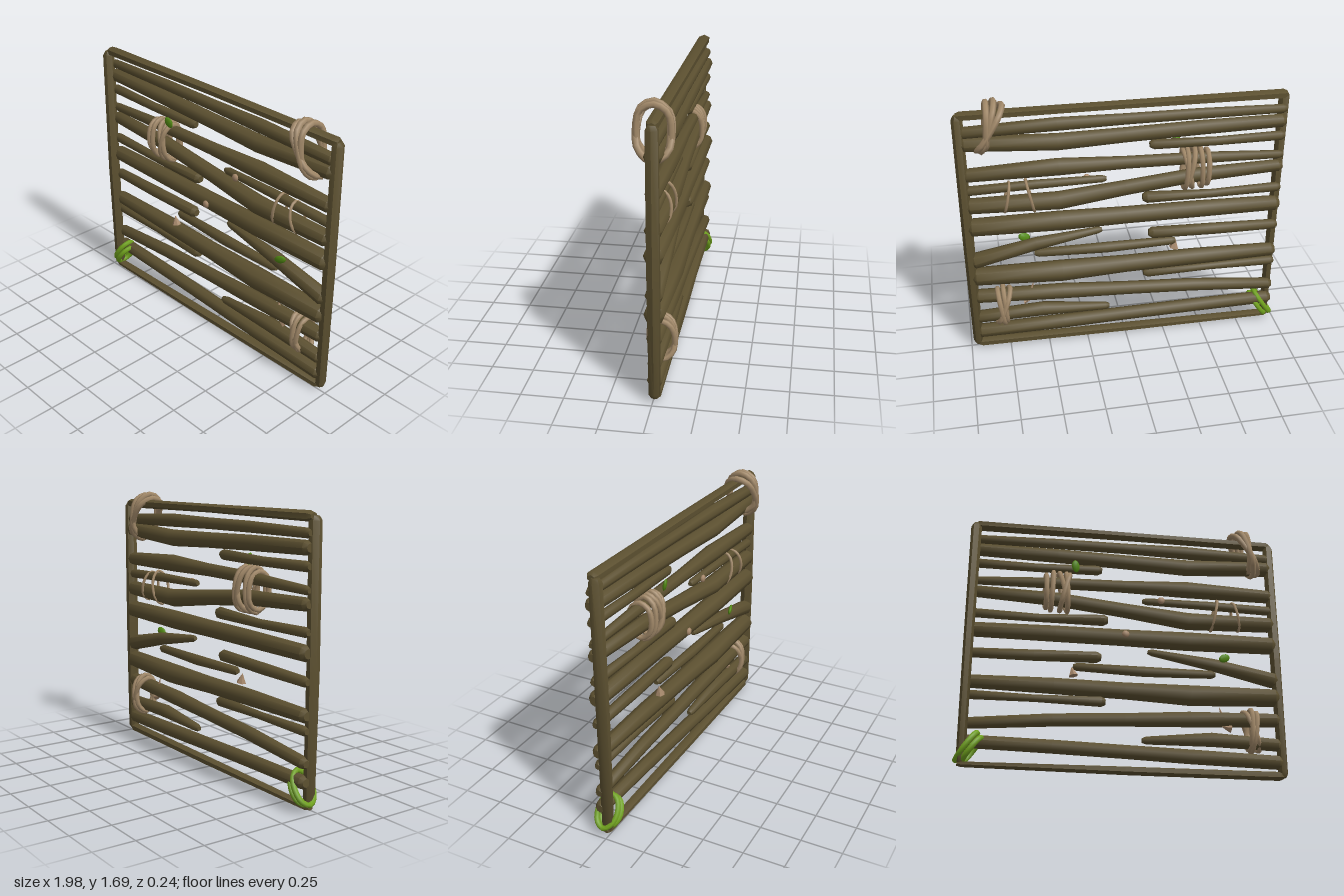
import * as THREE from 'three';
import { mergeVertices, toCreasedNormals } from 'three/addons/utils/BufferGeometryUtils.js';

const mat = (name, color) => {
  const m = new THREE.MeshStandardMaterial({ color });
  m.name = name;
  return m;
};
const V = (x, y, z) => new THREE.Vector3(x, y, z);

// Tapered branch: sections are [centre, radius across, radius in depth], chamfered at both ends
function branchGeometry(sections, sides) {
  const first = sections[0], last = sections[sections.length - 1];
  const tip = (s, other) => {
    const dir = s[0].clone().sub(other[0]).normalize();
    return [s[0].clone().addScaledVector(dir, 0.025), s[1] * 0.6, s[2] * 0.6];
  };
  const rings = [tip(first, sections[1]), ...sections, tip(last, sections[sections.length - 2])];
  const axis = last[0].clone().sub(first[0]).normalize();
  const depth = V(0, 0, 1);
  const across = V(0, 0, 0).crossVectors(depth, axis).normalize();
  const pos = [], idx = [];
  for (const [c, ra, rd] of rings) {
    for (let i = 0; i < sides; i++) {
      const a = (i / sides) * Math.PI * 2;
      const p = c.clone().addScaledVector(across, Math.cos(a) * ra).addScaledVector(depth, Math.sin(a) * rd);
      pos.push(p.x, p.y, p.z);
    }
  }
  for (let r = 0; r < rings.length - 1; r++) {
    for (let i = 0; i < sides; i++) {
      const a = r * sides + i, b = r * sides + (i + 1) % sides;
      idx.push(a, b, a + sides, b, b + sides, a + sides);
    }
  }
  const end = (rings.length - 1) * sides;
  for (let i = 1; i < sides - 1; i++) idx.push(0, i + 1, i, end, end + i, end + i + 1);
  const g = new THREE.BufferGeometry();
  g.setAttribute('position', new THREE.Float32BufferAttribute(pos, 3));
  g.setIndex(idx);
  return toCreasedNormals(mergeVertices(g), 0.9);
}

export function createModel() {
  const model = new THREE.Group();
  model.name = 'wovenBranchPanel';
  const wood = mat('bark brown', 0x5c5030);
  const rope = mat('rope tan', 0xa38a6a);
  const vine = mat('vine green', 0x72a41e);
  const leafGreen = mat('leaf green', 0x548c14);
  const bud = mat('cut wood', 0xa5876a);

  const add = (name, geometry, material, parent = model) => {
    const m = new THREE.Mesh(geometry, material);
    m.name = name;
    parent.add(m);
    return m;
  };

  // Frame: two posts and two rails
  const frame = (name, pts) => add(name, branchGeometry(pts, 6), wood);
  frame('leftPost', [[V(0.955, 0.06, -0.01), 0.03, 0.036], [V(0.957, 0.8, -0.01), 0.034, 0.04], [V(0.957, 1.6, -0.01), 0.033, 0.038]]);
  frame('rightPost', [[V(-0.945, 0.06, -0.015), 0.027, 0.036], [V(-0.952, 0.8, -0.01), 0.03, 0.04], [V(-0.955, 1.6, -0.015), 0.034, 0.038]]);
  frame('topRail', [[V(-0.94, 1.622, -0.035), 0.03, 0.04], [V(0, 1.624, -0.025), 0.026, 0.038], [V(0.94, 1.62, -0.01), 0.029, 0.036]]);
  frame('bottomRail', [[V(-0.94, 0.03, -0.02), 0.017, 0.03], [V(0, 0.034, -0.015), 0.026, 0.035], [V(0.93, 0.042, -0.01), 0.028, 0.035]]);

  // Horizontal sticks, set further back towards the -x post; points are [x, y, radius]
  const sticks = new THREE.Group();
  sticks.name = 'sticks';
  model.add(sticks);
  const stick = (name, pts) => {
    const sections = pts.map(([x, y, r]) => [V(x, y, -0.03 + 0.025 * x), r, r]);
    add(name, branchGeometry(sections, 8), wood, sticks);
  };

  // Full-width sticks: four heights, thin-end radius, bulge radius
  const longSticks = [
    [1.535, 1.538, 1.532, 1.515, 0.028, 0.042],
    [1.458, 1.448, 1.42, 1.445, 0.041, 0.053],
    [1.235, 1.25, 1.258, 1.243, 0.026, 0.054],
    [1.16, 1.135, 1.033, 1.038, 0.038, 0.057],
    [0.897, 0.897, 0.892, 0.892, 0.048, 0.062],
    [0.555, 0.55, 0.53, 0.54, 0.043, 0.068],
    [0.29, 0.333, 0.375, 0.392, 0.036, 0.05],
    [0.18, 0.168, 0.14, 0.125, 0.041, 0.046],
  ];
  for (const [yL, yA, yB, yR, thin, thick] of longSticks) {
    const r = (t) => thin + (thick - thin) * t;
    stick('longStick', [[-0.94, yL, r(0)], [-0.43, yA, r(0.4)], [0, (yA + yB) / 2, r(0.5)], [0.4, yB, r(1)], [0.93, yR, r(0.6)]]);
  }

  // Short sticks: x range, then height and radius at start, middle and end
  const shortSticks = [
    [-0.94, -0.17, 1.36, 1.353, 1.36, 0.03, 0.028, 0.032],
    [0.14, 0.93, 1.157, 1.152, 1.14, 0.023, 0.029, 0.03],
    [-0.94, -0.13, 1.01, 0.999, 1.007, 0.03, 0.027, 0.037],
    [-0.94, -0.17, 0.742, 0.745, 0.752, 0.032, 0.037, 0.037],
    [-0.29, 0.54, 0.682, 0.672, 0.675, 0.027, 0.034, 0.027],
    [0.17, 0.93, 0.803, 0.742, 0.655, 0.022, 0.041, 0.05],
    [-0.94, -0.14, 0.47, 0.465, 0.462, 0.03, 0.024, 0.033],
    [0.13, 0.93, 0.23, 0.252, 0.235, 0.025, 0.045, 0.04],
  ];
  for (const [x0, x1, y0, y1, y2, r0, r1, r2] of shortSticks) {
    stick('shortStick', [[x0, y0, r0], [(x0 + x1) / 2, y1, r1], [x1, y2, r2]]);
  }

  // Lashings: each loop is [top x, top y, bottom x, bottom y], wrapped between zFront and zBack
  function lashing(name, loops, zFront, zBack, radius, material) {
    const group = new THREE.Group();
    group.name = name;
    model.add(group);
    const zm = (zFront + zBack) / 2;
    const outline = [[0, zm], [0.12, zFront - 0.02], [0.45, zFront], [0.8, zFront - 0.015],
      [1, zm], [0.85, zBack + 0.015], [0.5, zBack], [0.15, zBack + 0.02]];
    loops.forEach(([x0, y0, x1, y1], i) => {
      const pts = outline.map(([t, z]) => V(x0 + (x1 - x0) * t, y0 + (y1 - y0) * t, z + (i % 2) * 0.006));
      const curve = new THREE.CatmullRomCurve3(pts, true, 'centripetal');
      add('loop' + (i + 1), new THREE.TubeGeometry(curve, 20, radius, 6, true), material, group);
    });
  }
  lashing('topCornerLashing', [[0.7, 1.66, 0.87, 1.4], [0.745, 1.685, 0.84, 1.385], [0.79, 1.68, 0.81, 1.41]], 0.1, -0.085, 0.019, rope);
  lashing('upperLashing', [[-0.5, 1.29, -0.495, 1.07], [-0.455, 1.31, -0.465, 1.05], [-0.42, 1.31, -0.36, 1.06], [-0.35, 1.3, -0.41, 1.05], [-0.375, 1.31, -0.36, 1.05]], 0.045, -0.1, 0.016, rope);
  lashing('lowerLashing', [[0.73, 0.44, 0.82, 0.2], [0.775, 0.455, 0.76, 0.2], [0.81, 0.44, 0.775, 0.19]], 0.045, -0.1, 0.016, rope);
  lashing('thinLashing', [[0.595, 1.19, 0.55, 0.975], [0.69, 1.175, 0.73, 0.985]], 0.045, -0.075, 0.009, rope);
  lashing('vineLashing', [[-0.86, 0.225, -0.975, 0.055], [-0.835, 0.195, -0.94, 0.045]], 0.03, -0.095, 0.017, vine);

  // Leaves
  for (const [x, y, z, turn] of [[-0.32, 1.34, 0.035, 1.7], [0.62, 0.775, 0.02, 0.4]]) {
    const leaf = add('leaf', new THREE.SphereGeometry(0.04, 8, 6), leafGreen);
    leaf.scale.set(1, 0.65, 0.3);
    leaf.position.set(x, y, z);
    leaf.rotation.set(0.2, 0.3, turn);
  }

  // Cut knots and little broken twigs
  for (const [x, y, z] of [[0, 0.895, 0.025], [0.23, 1.155, 0.005]]) {
    const knot = add('knot', new THREE.SphereGeometry(0.024, 8, 6), bud);
    knot.position.set(x, y, z);
    knot.scale.z = 0.6;
  }
  for (const [x, y, z, r, h, turn] of [[-0.32, 0.64, -0.01, 0.03, 0.06, 0.2], [0.62, 0.33, -0.01, 0.025, 0.06, 1.4], [0.59, 0.44, -0.02, 0.01, 0.06, 0.3]]) {
    const twig = add('brokenTwig', toCreasedNormals(new THREE.ConeGeometry(r, h, 6), 0.5), bud);
    twig.position.set(x, y, z);
    twig.rotation.z = turn;
  }
  return model;
}
